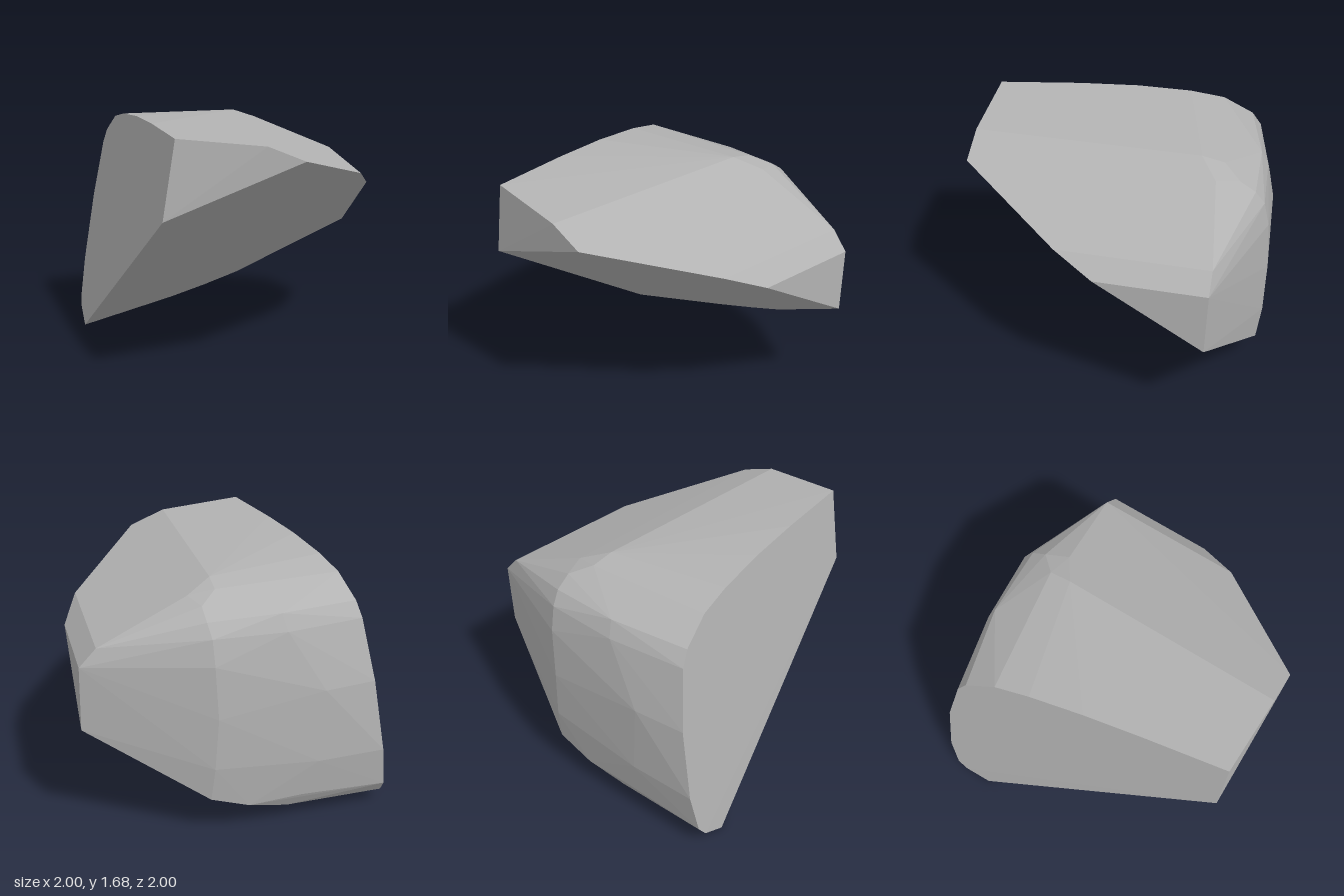
import * as THREE from 'three';
import { ConvexGeometry } from 'three/addons/geometries/ConvexGeometry.js';

// Points on the slanted flat underside: depth follows from x and y
const onUnderside = ([x, y]) =>
  new THREE.Vector3(x, y, 1 - 0.662 * (x + 0.51) + 1.64 * (y - 1.17));

// Points on the flat left-hand cut: x follows from height and depth
const onSideCut = ([y, z]) =>
  new THREE.Vector3(-0.51 + 0.157 * (y - 1.17) + 0.18 * (z - 1), y, z);

export function createModel() {
  const group = new THREE.Group();
  group.name = 'rock';

  const stone = new THREE.MeshStandardMaterial({ color: 0xb2b2b2 });
  stone.name = 'stone grey';

  // Rim of the underside
  const underside = [
    [-0.51, 1.17], [-0.98, 0], [-0.31, 0.11], [-0.04, 0.18], [0.22, 0.27],
    [1, 0.735], [1, 1.17], [0.89, 1.29], [0.37, 1.52],
  ].map(onUnderside);

  // Rounded rim of the side cut, from the front top round to the bottom
  const sideCut = [
    [1.68, 1], [1.685, 0.45], [1.675, 0.06], [1.64, -0.3], [1.59, -0.53],
    [1.46, -0.73], [1.36, -0.79], [0.95, -0.87], [0.45, -0.885],
    [0.17, -0.84], [0.09, -0.78],
  ].map(onSideCut);

  // Top ridge, rounded back and right-hand corner
  const shell = [
    [0.13, 1.62, 1], [0.13, 1.62, -0.52], [0.13, 1.59, -0.67],
    [0.3, 1.55, -0.64], [0.24, 1.53, -0.79], [0.23, 1.46, -0.89],
    [0.21, 1.37, -0.95], [0.2, 1.2, -0.985], [0.18, 0.85, -1],
    [0.2, 0.5, -0.99], [-0.25, 1.47, -0.865], [-0.28, 1.36, -0.91],
    [-0.53, 0.95, -0.942], [-0.5, 0.45, -0.94], [-0.4, 0.2, -0.91],
    [0.89, 1.29, -0.73], [1, 1.17, -0.73],
  ].map((p) => new THREE.Vector3(...p));

  const body = new THREE.Mesh(
    new ConvexGeometry([...underside, ...sideCut, ...shell]), stone);
  body.name = 'rockBody';
  group.add(body);
  return group;
}
